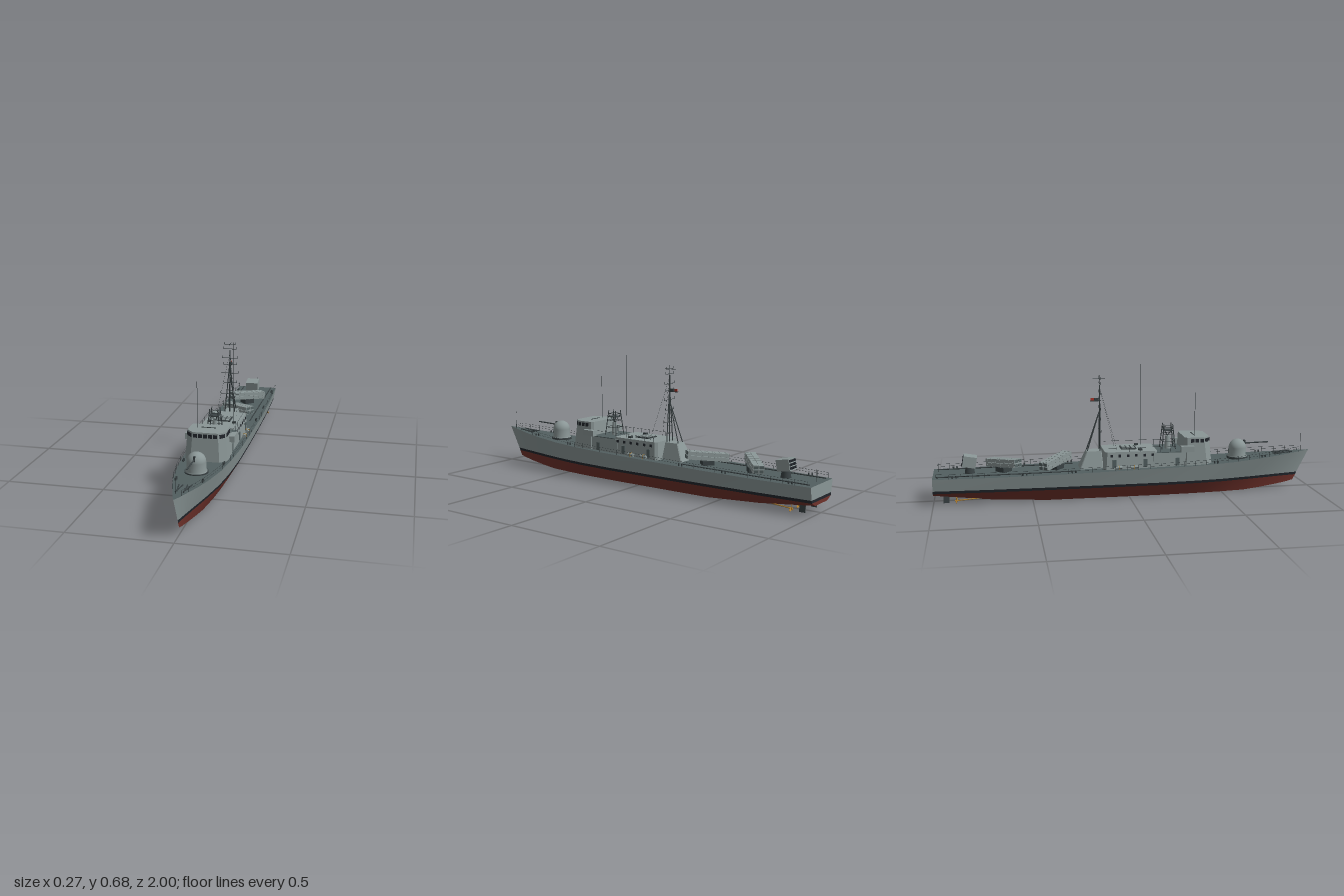
import * as THREE from 'three';
import { ConvexGeometry } from 'three/addons/geometries/ConvexGeometry.js';

const material = (name, color, extra = {}) => Object.assign(new THREE.MeshStandardMaterial({ color, ...extra }), { name });

// Hull stations along the length, and half-widths and heights at each
const S = [-1, -0.7, -0.4, -0.1, 0.2, 0.4, 0.55, 0.7, 0.8, 0.9, 0.96, 1];
const deckW = [0.115, 0.128, 0.134, 0.134, 0.131, 0.12, 0.107, 0.083, 0.06, 0.032, 0.014, 0];
const waterW = [0.1, 0.11, 0.113, 0.113, 0.11, 0.1, 0.084, 0.058, 0.038, 0.018, 0.007, 0];
const keelW = [0.062, 0.07, 0.072, 0.072, 0.07, 0.065, 0.055, 0.038, 0.025, 0.011, 0.005, 0];
const deckY = [0.14, 0.142, 0.146, 0.152, 0.158, 0.163, 0.169, 0.178, 0.184, 0.192, 0.196, 0.2];
const keelY = [0.045, 0.016, 0, 0, 0, 0, 0, 0, 0.008, 0.018, 0.027, 0.035];

function at(table, z) {
  let i = 0;
  while (i < S.length - 2 && z > S[i + 1]) i++;
  return THREE.MathUtils.mapLinear(z, S[i], S[i + 1], table[i], table[i + 1]);
}

// Surface between two rows of points
function strip(a, b) {
  const pos = [...a, ...b].flat(), index = [], n = a.length;
  for (let i = 0; i < n - 1; i++) index.push(i, n + i, i + 1, i + 1, n + i, n + i + 1);
  const g = new THREE.BufferGeometry();
  g.setAttribute('position', new THREE.Float32BufferAttribute(pos, 3));
  g.setIndex(index);
  g.computeVertexNormals();
  return g;
}

// Eight-sided tapered block with chamfered corners; each ring is [halfWidth, zBack, zFront, y]
function taperedBlock(rings, cBack, cFront) {
  const pts = [];
  for (const [w, b, f, y] of rings) for (const s of [-1, 1])
    pts.push([s * w, y, b + cBack], [s * (w - cBack), y, b], [s * w, y, f - cFront], [s * (w - cFront), y, f]);
  return new ConvexGeometry(pts.map(p => new THREE.Vector3(...p)));
}

export function createModel() {
  const root = new THREE.Group();
  root.name = 'patrolShip';
  const grey = material('ship grey', 0x8a9696);
  const deck = material('deck grey', 0x525f60);
  const red = material('bottom red', 0x70322b);
  const black = material('waterline black', 0x22262c);
  const dark = material('dark fittings', 0x394143);
  const brass = material('propeller brass', 0xb07f30);
  const signal = material('signal red', 0xa8352a);

  const add = (name, geo, mat, x = 0, y = 0, z = 0, parent = root) => {
    const m = new THREE.Mesh(geo, mat);
    m.name = name;
    m.position.set(x, y, z);
    parent.add(m);
    return m;
  };
  const box = (name, mat, w, h, d, x, y, z, parent) => add(name, new THREE.BoxGeometry(w, h, d), mat, x, y, z, parent);
  const cyl = (name, mat, r0, r1, h, x, y, z, n = 16, parent = root) => add(name, new THREE.CylinderGeometry(r1, r0, h, n), mat, x, y, z, parent);
  const rod = (name, p, q, r = 0.001, mat = dark, n = 5) => {
    const a = new THREE.Vector3(...p), d = new THREE.Vector3(...q).sub(a);
    const m = cyl(name, mat, r, r, d.length(), 0, 0, 0, n);
    m.position.copy(a).addScaledVector(d, 0.5);
    m.quaternion.setFromUnitVectors(new THREE.Vector3(0, 1, 0), d.normalize());
    return m;
  };

  // Hull: keel, waterline, stripe and deck levels joined by strips
  const level = (side, bow, w, y) => S.map((s, i) => [side * w(i), y(i), -1 + (s + 1) / 2 * (bow + 1)]);
  const levels = side => [
    level(side, 0.915, i => keelW[i], i => keelY[i]),
    level(side, 0.93, i => waterW[i], () => 0.063),
    level(side, 0.936, i => THREE.MathUtils.mapLinear(0.077, 0.063, deckY[i], waterW[i], deckW[i]), () => 0.077),
    level(side, 1, i => deckW[i], i => deckY[i]),
  ];
  const L = levels(1), R = levels(-1);
  [['hullBottomSide', red], ['waterlineStripe', black], ['hullSide', grey]].forEach(([name, mat], i) => {
    add(name + 'Left', strip(L[i], L[i + 1]), mat);
    add(name + 'Right', strip(R[i + 1], R[i]), mat);
    add(name + 'Transom', strip([R[i][0], L[i][0]], [R[i + 1][0], L[i + 1][0]]), mat);
  });
  add('hullBottom', strip(R[0], L[0]), red);
  add('mainDeck', strip(L[3], R[3]), deck);

  // Deck edge railings and aft deck tracks
  for (const s of [-1, 1]) {
    const edge = (z, h) => [s * at(deckW, z) * 0.98, at(deckY, z) + h, z];
    const stops = Array.from({ length: 33 }, (_, i) => -0.98 + i * 0.06);
    stops.forEach((z, i) => {
      rod('railPost', edge(z, 0), edge(z, 0.026), 0.0008);
      if (i) for (const h of [0.014, 0.026]) rod('railWire', edge(stops[i - 1], h), edge(z, h), 0.0006);
    });
    rod('deckTrack', [s * 0.085, 0.144, -0.98], [s * 0.085, 0.15, -0.28], 0.003);
    // Foredeck chains, breakwater and bollards
    rod('anchorChain', [s * 0.012, 0.188, 0.8], [s * 0.02, 0.195, 0.9], 0.003).position.x *= 0.9;
    rod('breakwater', [s * 0.03, 0.188, 0.8], [s * 0.015, 0.195, 0.89], 0.003);
    for (const z of [0.72, 0.45, -0.3, -0.55, -0.9]) for (const d of [0, 0.018])
      cyl('bollard', dark, 0.004, 0.004, 0.014, s * (at(deckW, z) - 0.016), at(deckY, z) + 0.006, z + d, 8);
  }
  rod('bowStaff', [0, 0.19, 0.955], [0, 0.29, 0.955]);
  rod('sternStaff', [0, 0.14, -0.97], [0, 0.21, -0.97]);

  // Bridge with a wraparound row of windows
  add('bridge', taperedBlock([[0.106, 0.285, 0.44, 0.155], [0.095, 0.292, 0.425, 0.306]], 0.012, 0.033), grey);
  for (let i = -2; i <= 2; i++) box('bridgeWindow', black, 0.02, 0.018, 0.006, i * 0.0245, 0.289, 0.4265);
  for (const s of [-1, 1]) {
    box('bridgeCornerWindow', black, 0.032, 0.018, 0.006, s * 0.0797, 0.289, 0.4097).rotation.y = s * Math.PI / 4;
    for (const z of [0.38, 0.355, 0.33]) box('bridgeSideWindow', black, 0.006, 0.018, 0.018, s * 0.0962, 0.289, z);
    box('bridgeWing', grey, 0.028, 0.03, 0.07, s * 0.11, 0.251, 0.3);
  }
  box('bridgeRoofRail', dark, 0.07, 0.003, 0.003, 0, 0.309, 0.35);
  rod('forwardWhip', [-0.057, 0.3, 0.35], [-0.057, 0.537, 0.35], 0.0013);
  rod('tallWhip', [0.066, 0.24, 0.085], [0.066, 0.675, 0.085], 0.0013);

  // Deckhouse
  add('forwardDeckhouse', taperedBlock([[0.1, 0.12, 0.3, 0.155], [0.097, 0.12, 0.3, 0.232]], 0.004, 0.004), grey);
  box('forwardRoof', deck, 0.195, 0.004, 0.15, 0, 0.233, 0.217);
  add('aftDeckhouse', taperedBlock([[0.1, -0.135, 0.15, 0.148], [0.093, -0.128, 0.145, 0.243]], 0.012, 0.012), grey);
  box('roofHatch', dark, 0.08, 0.006, 0.08, 0, 0.245, 0.005);
  for (const x of [-1, 0, 1]) for (const z of [-1, 0, 1]) box('hatchPanel', grey, 0.017, 0.003, 0.017, x * 0.024, 0.2485, 0.005 + z * 0.024);
  for (const s of [-1, 1]) {
    for (let i = 0; i < 6; i++) box('deckhouseWindow', black, 0.006, 0.013, 0.013, s * 0.0945, 0.223, 0.12 - i * 0.043);
    for (const z of [0.25, 0.08, -0.08]) box('deckhouseDoor', deck, 0.006, 0.042, 0.02, s * 0.0985, 0.182, z);
    for (const z of [0.02, -0.06]) {
      cyl('lifeRaft', grey, 0.009, 0.009, 0.035, s * 0.114, 0.166, z, 12).rotation.x = Math.PI / 2;
      box('raftStrap', brass, 0.019, 0.019, 0.003, s * 0.114, 0.166, z);
    }
    box('roofLocker', dark, 0.018, 0.009, 0.02, s * 0.065, 0.247, 0.06);
    rod('roofRail', [s * 0.094, 0.264, 0.28], [s * 0.09, 0.264, -0.11], 0.0008);
    for (let i = 0; i < 8; i++) rod('roofRailPost', [s * 0.0925, 0.23, 0.27 - i * 0.054], [s * 0.0925, 0.264, 0.27 - i * 0.054], 0.0008);
  }

  // Lattice radar tower
  const tower = (sx, sz, t) => [sx * (0.034 - 0.012 * t), 0.235 + 0.12 * t, 0.217 + sz * (0.036 - 0.012 * t)];
  for (const [a, b] of [[-1, -1], [-1, 1], [1, 1], [1, -1]]) {
    rod('towerLeg', tower(a, b, 0), tower(a, b, 1.1), 0.0025);
    for (const t of [0.35, 0.65, 0.95]) rod('towerRung', tower(a, b, t), tower(-b, a, t), 0.0015);
    rod('towerBrace', tower(a, b, 0.95), [0, 0.3, 0.217], 0.0015);
  }
  cyl('towerPedestal', grey, 0.016, 0.012, 0.07, 0, 0.268, 0.217);
  box('towerPlatform', dark, 0.05, 0.004, 0.05, 0, 0.333, 0.217);

  // Mast house and mast
  add('mastHouse', taperedBlock([[0.053, -0.255, -0.13, 0.145], [0.032, -0.215, -0.138, 0.238]], 0.004, 0.004), grey);
  rod('mastPole', [0, 0.235, -0.143], [0, 0.58, -0.143], 0.0035);
  rod('mastTip', [0, 0.57, -0.143], [0, 0.632, -0.143], 0.0012);
  for (const s of [-1, 1]) {
    rod('mastLeg', [s * 0.027, 0.237, -0.145], [0, 0.52, -0.143], 0.0028);
    rod('mastBackLeg', [s * 0.02, 0.237, -0.212], [0, 0.44, -0.146], 0.0028);
    rod('mastStay', [0, 0.57, -0.143], [s * 0.055, 0.243, -0.06], 0.0005);
  }
  [0.28, 0.32, 0.36, 0.4, 0.44].forEach(y => {
    const w = 0.027 * (0.52 - y) / 0.283;
    rod('mastRung', [-w, y, -0.144], [w, y, -0.144], 0.0018);
  });
  [[0.612, 0.03], [0.587, 0.036], [0.537, 0.042], [0.502, 0.036], [0.455, 0.046], [0.403, 0.038], [0.34, 0.05]].forEach(([y, w]) => {
    rod('yardArm', [-w, y, -0.143], [w, y, -0.143], 0.0015);
    for (const s of [-1, 1]) rod('yardTip', [s * w, y, -0.143], [s * w, y + 0.012, -0.143], 0.0012);
  });
  rod('foreAftYard', [0, 0.612, -0.115], [0, 0.612, -0.18], 0.0012);
  box('mastRadarBracket', dark, 0.012, 0.004, 0.055, 0, 0.498, -0.165);
  box('mastRadar', dark, 0.012, 0.012, 0.02, 0, 0.506, -0.16);
  box('signalFlag', signal, 0.003, 0.012, 0.018, 0, 0.506, -0.182);

  // Domed forward gun
  const profile = [[0.052, 0.168], [0.052, 0.182], [0.046, 0.184], [0.046, 0.226]].map(p => new THREE.Vector2(...p));
  add('gunHouse', new THREE.LatheGeometry(profile, 28), grey, 0, 0, 0.6);
  add('gunDome', new THREE.SphereGeometry(0.046, 28, 10, 0, Math.PI * 2, 0, Math.PI / 2), grey, 0, 0.226, 0.6);
  cyl('gunRing', dark, 0.056, 0.056, 0.014, 0, 0.173, 0.6, 28);
  box('gunSlot', dark, 0.008, 0.034, 0.012, 0, 0.247, 0.638);
  rod('gunBarrel', [0, 0.247, 0.63], [0, 0.25, 0.77], 0.0035, dark, 10);

  // Angled missile launchers, two by two canisters with ribs
  for (const [z, s] of [[-0.375, 1], [-0.643, -1]]) {
    box('launcherBase', dark, 0.06, 0.025, 0.06, 0, 0.156, z).rotation.y = s * 0.85;
    const launcher = new THREE.Group();
    launcher.name = 'missileLauncher';
    launcher.position.set(0, 0.19, z);
    launcher.rotation.set(-0.11, s * 0.85, 0, 'YXZ');
    root.add(launcher);
    for (const x of [-1, 1]) for (const y of [-1, 1]) {
      box('canister', grey, 0.025, 0.019, 0.215, x * 0.0135, y * 0.0105, 0, launcher);
      for (const e of [-1, 1]) box('canisterCover', deck, 0.02, 0.015, 0.004, x * 0.0135, y * 0.0105, e * 0.107, launcher);
      for (let i = 0; i < 7; i++) box('canisterRib', grey, 0.0265, 0.0215, 0.005, x * 0.0135, y * 0.0105, -0.096 + i * 0.032, launcher);
    }
  }

  // Stern rocket launcher with dark tube openings
  cyl('rocketPedestal', dark, 0.026, 0.02, 0.04, 0, 0.158, -0.815);
  const rocket = new THREE.Group();
  rocket.name = 'rocketLauncher';
  rocket.position.set(0, 0.204, -0.815);
  rocket.rotation.x = 0.17;
  root.add(rocket);
  box('rocketBox', grey, 0.072, 0.056, 0.068, 0, 0, 0, rocket);
  for (let i = 0; i < 4; i++) for (let j = 0; j < 3; j++)
    box('rocketTube', black, 0.012, 0.012, 0.005, (i - 1.5) * 0.0165, (j - 1) * 0.017, -0.034, rocket);

  // Propellers, shafts and rudders
  for (const x of [-0.075, 0, 0.075]) {
    rod('propellerShaft', [x * 0.85, 0.03, -0.7], [x, 0.018, -0.885], 0.003, brass, 8);
    cyl('propellerHub', brass, 0.005, 0.005, 0.014, x, 0.018, -0.885, 8).rotation.x = Math.PI / 2;
    for (let i = 0; i < 3; i++) {
      const a = i * Math.PI * 2 / 3;
      const blade = box('propellerBlade', brass, 0.01, 0.016, 0.002, x - Math.sin(a) * 0.01, 0.018 + Math.cos(a) * 0.01, -0.885);
      blade.rotation.set(0, 0.5, a, 'ZYX');
    }
    if (x) box('rudder', dark, 0.006, 0.042, 0.03, x * 0.8, 0.025, -0.935);
  }
  return root;
}
